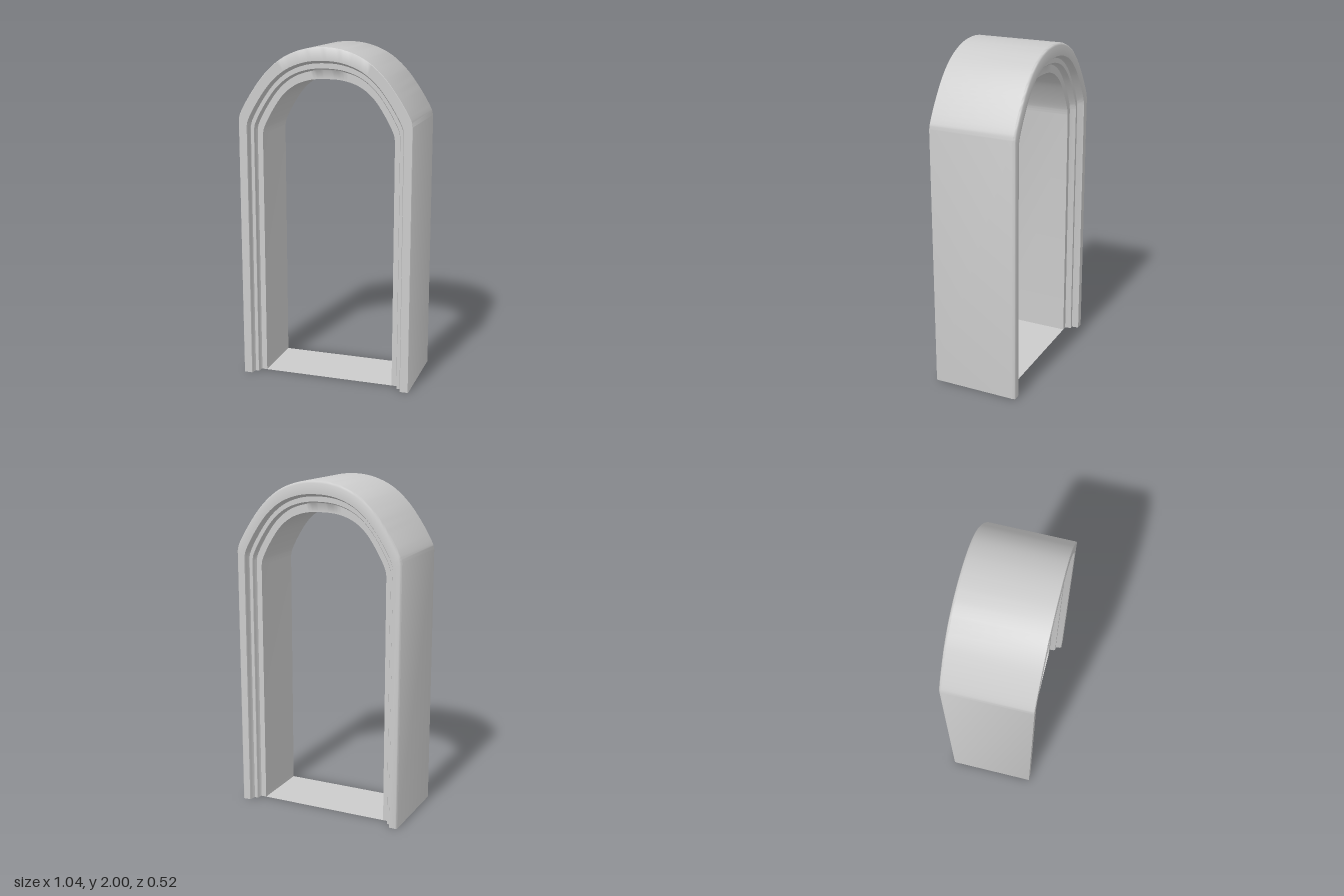
import * as THREE from 'three';
import { toCreasedNormals } from 'three/addons/utils/BufferGeometryUtils.js';

// half of the arch curve, from the springing to the crown
const OUTER = [[0.52, 1.575], [0.51, 1.61], [0.43, 1.745], [0.34, 1.858], [0.24, 1.938], [0.12, 1.986], [0, 2]];
const INNER = [[0.4, 1.48], [0.392, 1.518], [0.33, 1.635], [0.265, 1.722], [0.19, 1.778], [0.1, 1.808], [0, 1.815]];

// stepped moulding: [0 = inner edge .. 1 = outer edge, z]
const FRONT = [[0, 0.185], [0.27, 0.185], [0.3, 0.19], [0.31, 0.215], [0.34, 0.222],
  [0.5, 0.222], [0.53, 0.228], [0.55, 0.252], [0.59, 0.26], [0.98, 0.26], [1, 0.257]];
const BACK = [[1, -0.25], [0.975, -0.26], [0.92, -0.265], [0.59, -0.263], [0.55, -0.252],
  [0.53, -0.228], [0.5, -0.222], [0.34, -0.222], [0.31, -0.215], [0.3, -0.19], [0.27, -0.185], [0, -0.185]];

// full edge: up the left leg, over the arch and down the right leg
function edgePath(half) {
  const mirrored = half.slice(0, -1).reverse().map(([x, y]) => [-x, y]);
  const points = [...half, ...mirrored].map(([x, y]) => new THREE.Vector3(x, y, 0));
  const curve = new THREE.CatmullRomCurve3(points, false, 'centripetal');
  const arch = curve.getPoints((points.length - 1) * 5);
  const foot = half[0][0];
  return [new THREE.Vector3(foot, 0, 0), ...arch, new THREE.Vector3(-foot, 0, 0)];
}

// sweeps the moulding between the inner and outer edges; feet stay open
function archGeometry() {
  const inner = edgePath(INNER), outer = edgePath(OUTER);
  const section = [...FRONT, ...BACK, FRONT[0]];
  const n = section.length, positions = [], index = [];
  inner.forEach((p, i) => {
    for (const [t, z] of section) {
      const q = p.clone().lerp(outer[i], t);
      positions.push(q.x, q.y, z);
    }
  });
  for (let i = 0; i < inner.length - 1; i++) {
    for (let j = 0; j < n - 1; j++) {
      const a = i * n + j, b = a + 1, c = a + n, d = c + 1;
      index.push(a, b, d, a, d, c);
    }
  }
  const geometry = new THREE.BufferGeometry();
  geometry.setAttribute('position', new THREE.Float32BufferAttribute(positions, 3));
  geometry.setIndex(index);
  return toCreasedNormals(geometry, 0.75);
}

export function createModel() {
  const group = new THREE.Group();
  group.name = 'archway';
  const material = new THREE.MeshStandardMaterial({ color: 0xcccccc, side: THREE.DoubleSide });

  const frame = new THREE.Mesh(archGeometry(), material);
  frame.name = 'mouldedFrame';
  group.add(frame);

  // thin threshold between the legs
  const sill = new THREE.Mesh(new THREE.PlaneGeometry(0.8, 0.37), material);
  sill.rotation.x = -Math.PI / 2;
  sill.name = 'threshold';
  group.add(sill);
  return group;
}
